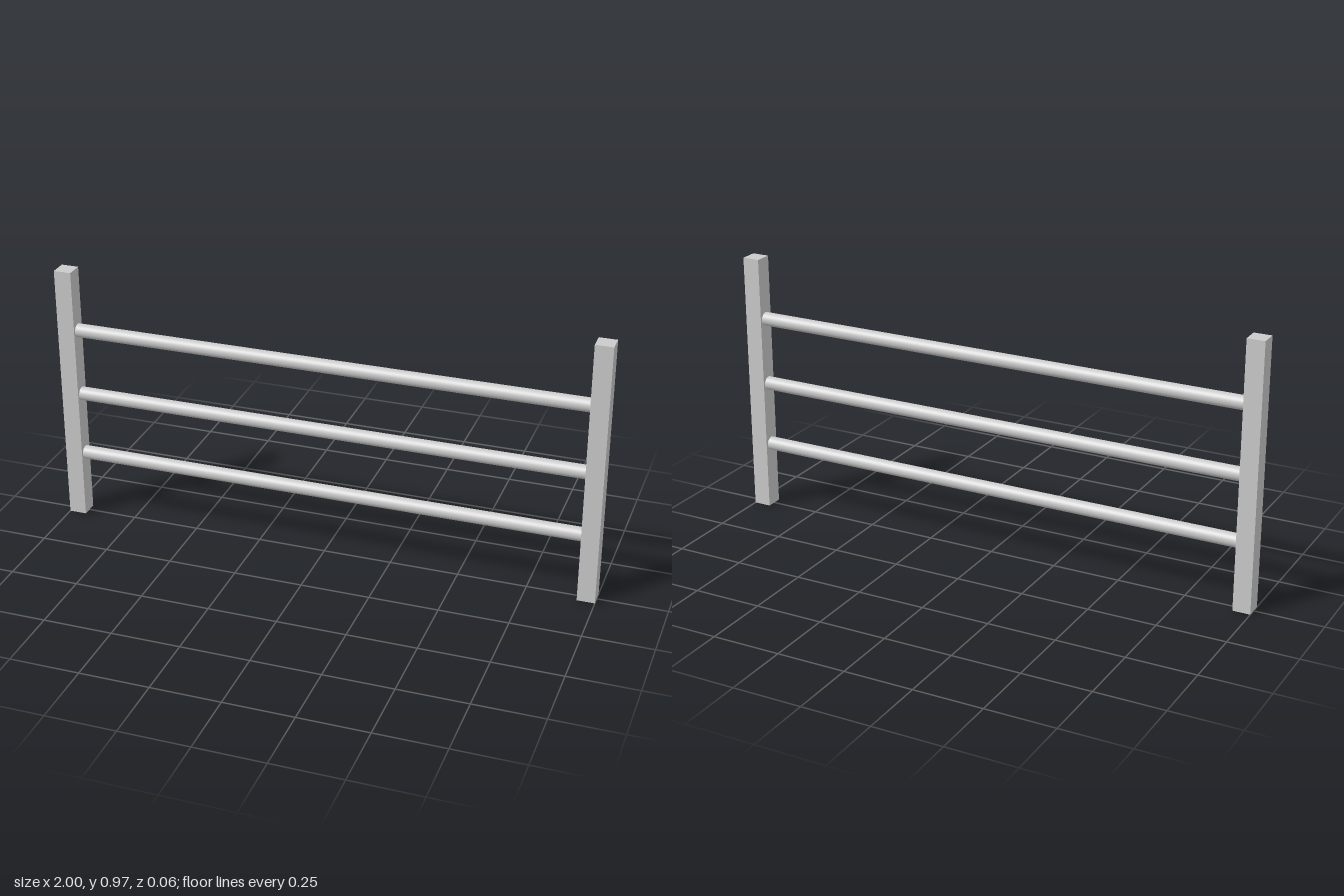
import * as THREE from 'three';

const POST_WIDTH = 0.064;
const POST_HEIGHT = 0.97;
const RAIL_RADIUS = 0.025;
const RAIL_HEIGHTS = { lowerRail: 0.246, middleRail: 0.487, upperRail: 0.738 };

export function createModel() {
  const group = new THREE.Group();
  group.name = 'railFence';
  const material = new THREE.MeshStandardMaterial({ color: 0xcccccc });

  const addPart = (name, geometry, x, y) => {
    const mesh = new THREE.Mesh(geometry, material);
    mesh.name = name;
    mesh.position.set(x, y, 0);
    group.add(mesh);
  };

  // Square end posts
  const post = new THREE.BoxGeometry(POST_WIDTH, POST_HEIGHT, POST_WIDTH);
  const postX = 1 - POST_WIDTH / 2;
  addPart('leftPost', post, postX, POST_HEIGHT / 2);
  addPart('rightPost', post, -postX, POST_HEIGHT / 2);

  // Round rails, set slightly into both posts
  const railLength = 2 - 2 * POST_WIDTH + 0.01;
  const rail = new THREE.CylinderGeometry(RAIL_RADIUS, RAIL_RADIUS, railLength, 32);
  rail.rotateZ(Math.PI / 2);
  for (const [name, y] of Object.entries(RAIL_HEIGHTS)) addPart(name, rail, 0, y);

  return group;
}
